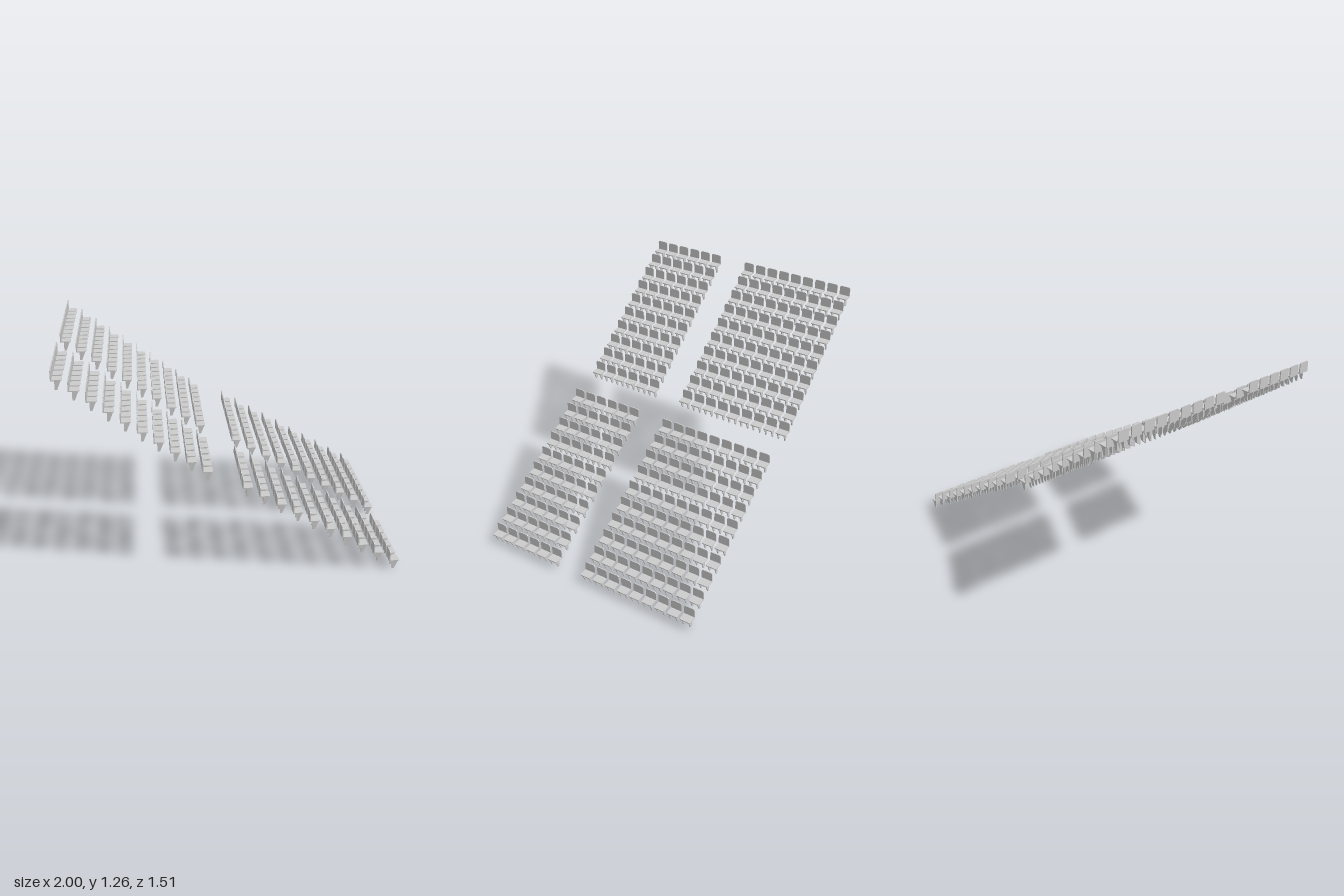
import * as THREE from 'three';

const W = 0.066;     // chair width
const D = 0.058;     // chair depth
const T = 0.006;     // shell thickness
const SEAT_Y = 0.056;
const TURN = 0.08;   // whole stand is turned a little about y

// Flat panel, w wide and h long, with its two far corners rounded
function panel(w, h, r) {
  const s = new THREE.Shape();
  s.moveTo(-w / 2, 0);
  s.lineTo(w / 2, 0);
  s.lineTo(w / 2, h - r);
  s.quadraticCurveTo(w / 2, h, w / 2 - r, h);
  s.lineTo(-w / 2 + r, h);
  s.quadraticCurveTo(-w / 2, h, -w / 2, h - r);
  s.closePath();
  return new THREE.ExtrudeGeometry(s, { depth: T, bevelEnabled: false, curveSegments: 3 });
}

// Parts of one chair, which faces +x
function chairParts() {
  const back = panel(W, 0.063, 0.012);
  back.rotateY(Math.PI / 2);
  back.translate(-D / 2, SEAT_Y - T, 0);

  const seat = panel(W, D, 0.01);
  seat.rotateX(Math.PI / 2);
  seat.rotateY(Math.PI / 2);
  seat.translate(-D / 2, SEAT_Y, 0);

  // Bracket: upright at the rear, sloping forward up to the seat
  const side = new THREE.Shape([
    new THREE.Vector2(-0.009, 0), new THREE.Vector2(0.004, 0),
    new THREE.Vector2(0.024, SEAT_Y - T), new THREE.Vector2(-0.009, SEAT_Y - T),
  ]);
  const bracket = new THREE.ExtrudeGeometry(side, { depth: 0.005, bevelEnabled: false });
  bracket.translate(0, 0, -0.0025);

  return { back, seat, bracket };
}

function makeChair(parts, material) {
  const chair = new THREE.Group();
  chair.name = 'chair';
  const add = (name, geometry, z = 0) => {
    const mesh = new THREE.Mesh(geometry, material);
    mesh.name = name;
    mesh.position.z = z;
    chair.add(mesh);
  };
  add('backrest', parts.back);
  add('seat', parts.seat);
  add('leftBracket', parts.bracket, -0.0215);
  add('rightBracket', parts.bracket, 0.0215);
  return chair;
}

export function createModel() {
  const model = new THREE.Group();
  model.name = 'grandstandSeating';
  const material = new THREE.MeshStandardMaterial({ color: 0xcccccc, flatShading: true });
  const chair = makeChair(chairParts(), material);

  // Blocks: first chair position, chairs per row, row step forward, row drop
  const upper = { y: 1.15, run: 0.0859, drop: 0.0612 };
  const lower = { y: 0.501, run: 0.0942, drop: 0.0557 };
  const blocks = [
    { name: 'upperLongBlock', x: -0.968, z: -0.597, count: 9, ...upper },
    { name: 'upperShortBlock', x: -0.902, z: 0.306, count: 6, ...upper },
    { name: 'lowerLongBlock', x: 0.021, z: -0.66, count: 9, ...lower },
    { name: 'lowerShortBlock', x: 0.087, z: 0.241, count: 6, ...lower },
  ];

  for (const b of blocks) {
    const block = new THREE.Group();
    block.name = b.name;
    block.position.set(b.x, b.y, b.z);
    block.rotation.y = TURN;
    for (let row = 0; row < 10; row++) {
      const line = new THREE.Group();
      line.name = 'row';
      line.position.set(row * b.run, -row * b.drop, 0);
      for (let i = 0; i < b.count; i++) {
        const c = chair.clone();
        c.position.z = i * 0.0825;
        line.add(c);
      }
      block.add(line);
    }
    model.add(block);
  }
  return model;
}
